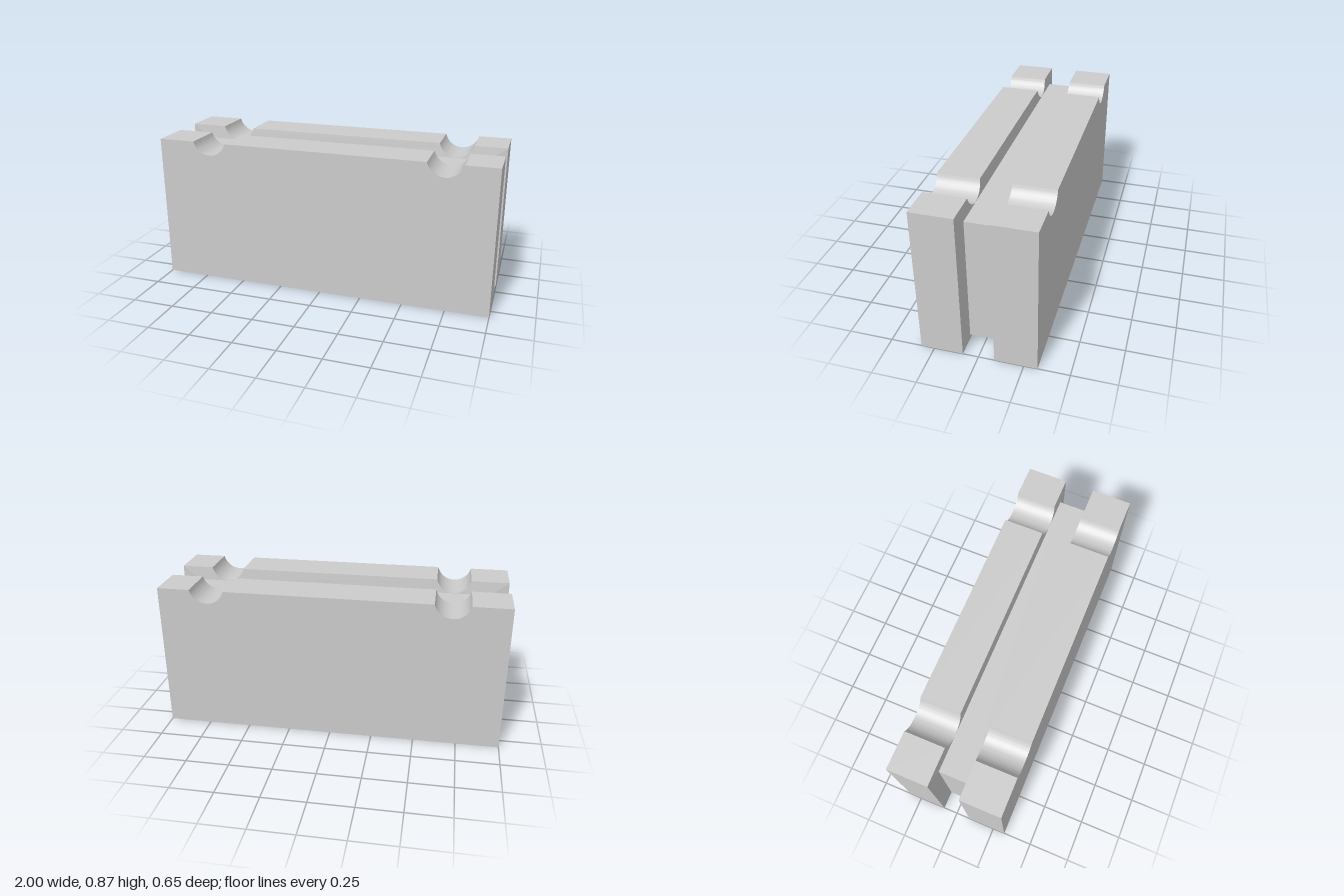
import * as THREE from 'three';
import { toCreasedNormals } from 'three/addons/utils/BufferGeometryUtils.js';

const HEIGHT = 0.867, OUTER_Z = 0.325, CORE_Z = 0.08, TAPER = 0.008;
const CORE_X = 0.897, CORE_BOTTOM = 0.048, CORE_TOP = 0.788;
const NOTCHES = [0.71, -0.68], NOTCH_R = 0.1034, NOTCH_Y = 0.893;

// Inner face of a plate: flat at the core, leaning outwards towards the rim
function innerZ(x, y) {
  const t = Math.max(
    0,
    (Math.abs(x) - CORE_X) / (1 - CORE_X),
    (y - CORE_TOP) / (HEIGHT - CORE_TOP),
    (CORE_BOTTOM - y) / CORE_BOTTOM
  );
  return CORE_Z + TAPER * t;
}

// Rectangle with two round notches in the top edge
function plateOutline(side) {
  const a = Math.asin((NOTCH_Y - HEIGHT) / NOTCH_R);
  const shape = new THREE.Shape();
  shape.moveTo(-1, 0);
  shape.lineTo(1, 0);
  shape.lineTo(1, HEIGHT);
  const centres = NOTCHES.map((x) => x * side).sort((p, q) => q - p);
  for (const x of centres) shape.absarc(x, NOTCH_Y, NOTCH_R, -a, -Math.PI + a, true);
  shape.lineTo(-1, HEIGHT);
  shape.closePath();
  return shape;
}

// Move the vertices at z = 0 onto the tapered inner face
function taperInner(geometry) {
  const p = geometry.attributes.position;
  for (let i = 0; i < p.count; i++) {
    p.setZ(i, p.getZ(i) < 0.01 ? innerZ(p.getX(i), p.getY(i)) : OUTER_Z);
  }
  geometry.computeVertexNormals();
  return geometry;
}

export function createModel() {
  const model = new THREE.Group();
  model.name = 'notchedDoubleBlock';
  const material = new THREE.MeshStandardMaterial({ color: 0xcccccc });
  const thinMaterial = new THREE.MeshStandardMaterial({ color: 0xcccccc, side: THREE.DoubleSide });

  const add = (parent, name, geometry, mat = material) => {
    const mesh = new THREE.Mesh(geometry, mat);
    mesh.name = name;
    parent.add(mesh);
    return mesh;
  };

  // Recessed core between the plates
  const core = add(model, 'core',
    new THREE.BoxGeometry(CORE_X * 2, CORE_TOP - CORE_BOTTOM, CORE_Z * 2));
  core.position.y = (CORE_TOP + CORE_BOTTOM) / 2;

  // Front and back plates, the back one turned round with its notches mirrored
  for (const side of [1, -1]) {
    const plate = new THREE.Group();
    plate.name = side > 0 ? 'frontPlate' : 'backPlate';
    plate.rotation.y = side > 0 ? 0 : Math.PI;
    model.add(plate);

    const body = new THREE.ExtrudeGeometry(plateOutline(side),
      { depth: OUTER_Z, bevelEnabled: false, curveSegments: 16 });
    add(plate, 'plateBody', toCreasedNormals(taperInner(body), 0.5));

    // Tapered inner face around the core
    const ring = plateOutline(side);
    const hole = new THREE.Path();
    hole.moveTo(-CORE_X, CORE_BOTTOM);
    hole.lineTo(-CORE_X, CORE_TOP);
    hole.lineTo(CORE_X, CORE_TOP);
    hole.lineTo(CORE_X, CORE_BOTTOM);
    hole.closePath();
    ring.holes.push(hole);
    add(plate, 'taperedInnerFace',
      taperInner(new THREE.ShapeGeometry(ring, 16).toNonIndexed()), thinMaterial);
  }
  return model;
}
